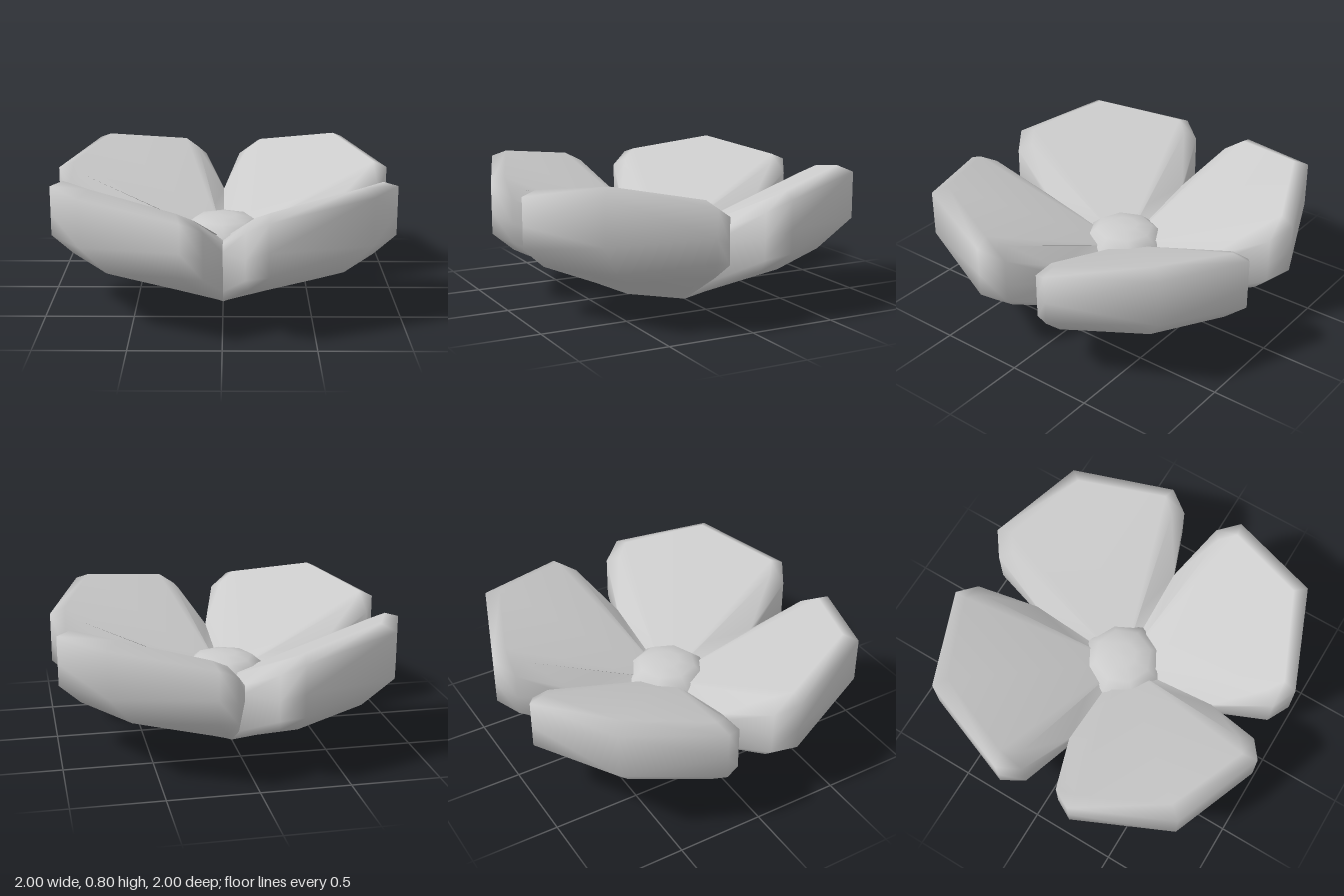
import * as THREE from 'three';

const material = new THREE.MeshStandardMaterial({ color: 0xcccccc });

// Cross-section loops of one petal, from the inner face over the rim to the base.
// Each runs from the x axis round the tip (middle point) to the z axis.
const face = [[0.3, 0.43, 0.06], [0.85, 0.665, 0.15], [0.91, 0.72, 0.24], [0.73, 0.8, 0.7],
  [0.25, 0.725, 0.91], [0.17, 0.68, 0.85], [0.06, 0.43, 0.3]];
const rim = [[0.6, 0.46, 0], [0.92, 0.62, 0.1], [1, 0.69, 0.22], [0.8, 0.765, 0.76],
  [0.24, 0.69, 0.99], [0.12, 0.62, 0.92], [0, 0.46, 0.6]];
const wall = [[0.6, 0.41, 0], [0.92, 0.47, 0.1], [1, 0.53, 0.22], [0.8, 0.5, 0.76],
  [0.24, 0.53, 0.99], [0.12, 0.47, 0.92], [0, 0.41, 0.6]];
const wallFoot = [[0.6, 0.36, 0], [0.92, 0.36, 0.1], [1, 0.4, 0.22], [0.66, 0.31, 0.63],
  [0.24, 0.4, 0.99], [0.12, 0.36, 0.92], [0, 0.36, 0.6]];
const underside = [[0.45, 0.13, 0], [0.84, 0.28, 0.14], [0.87, 0.29, 0.23], [0.51, 0.22, 0.49],
  [0.23, 0.29, 0.87], [0.14, 0.28, 0.84], [0, 0.13, 0.45]];
const base = [0, 0.1, 0.25, 0.5, 0.75, 0.9, 1].map(t => [0.25 * (1 - t), 0, 0.25 * t]);

function petalGeometry() {
  const loops = [face, rim, wall, wallFoot, underside, base];
  const n = face.length;
  const top = loops.length * n, bottom = top + 1;
  const points = [...loops.flat(), [0, 0.31, 0], [0, 0, 0]];
  const index = [];
  for (let j = 0; j < n - 1; j++) {
    index.push(top, j + 1, j);
    for (let i = 0; i < loops.length - 1; i++) {
      const a = i * n + j, b = a + 1, c = a + n, d = c + 1;
      // Diagonals mirror about the tip
      if (j < 3) index.push(a, b, c, b, d, c);
      else index.push(a, b, d, a, d, c);
    }
    const foot = (loops.length - 1) * n + j;
    index.push(bottom, foot, foot + 1);
  }
  // Rounded strips down to the valleys beside the neighbouring petals
  index.push(top, 0, n, top, 2 * n - 1, n - 1);
  const geometry = new THREE.BufferGeometry();
  geometry.setAttribute('position', new THREE.Float32BufferAttribute(points.flat(), 3));
  geometry.setIndex(index);
  geometry.computeVertexNormals();
  return geometry;
}

export function createModel() {
  const flower = new THREE.Group();
  flower.name = 'flower';

  // Four petals, each a quarter turn from the last
  const geometry = petalGeometry();
  for (let k = 0; k < 4; k++) {
    const petal = new THREE.Mesh(geometry, material);
    petal.name = 'petal' + (k + 1);
    petal.rotation.y = k * Math.PI / 2;
    flower.add(petal);
  }

  // Eight-sided button in the middle, its lower part sunk into the petals
  const profile = [[0.25, 0.33], [0.235, 0.385], [0.17, 0.44], [0.08, 0.458], [0, 0.46]]
    .map(([r, y]) => new THREE.Vector2(r, y));
  const centre = new THREE.Mesh(new THREE.LatheGeometry(profile, 8), material);
  centre.name = 'flowerCentre';
  flower.add(centre);

  return flower;
}
